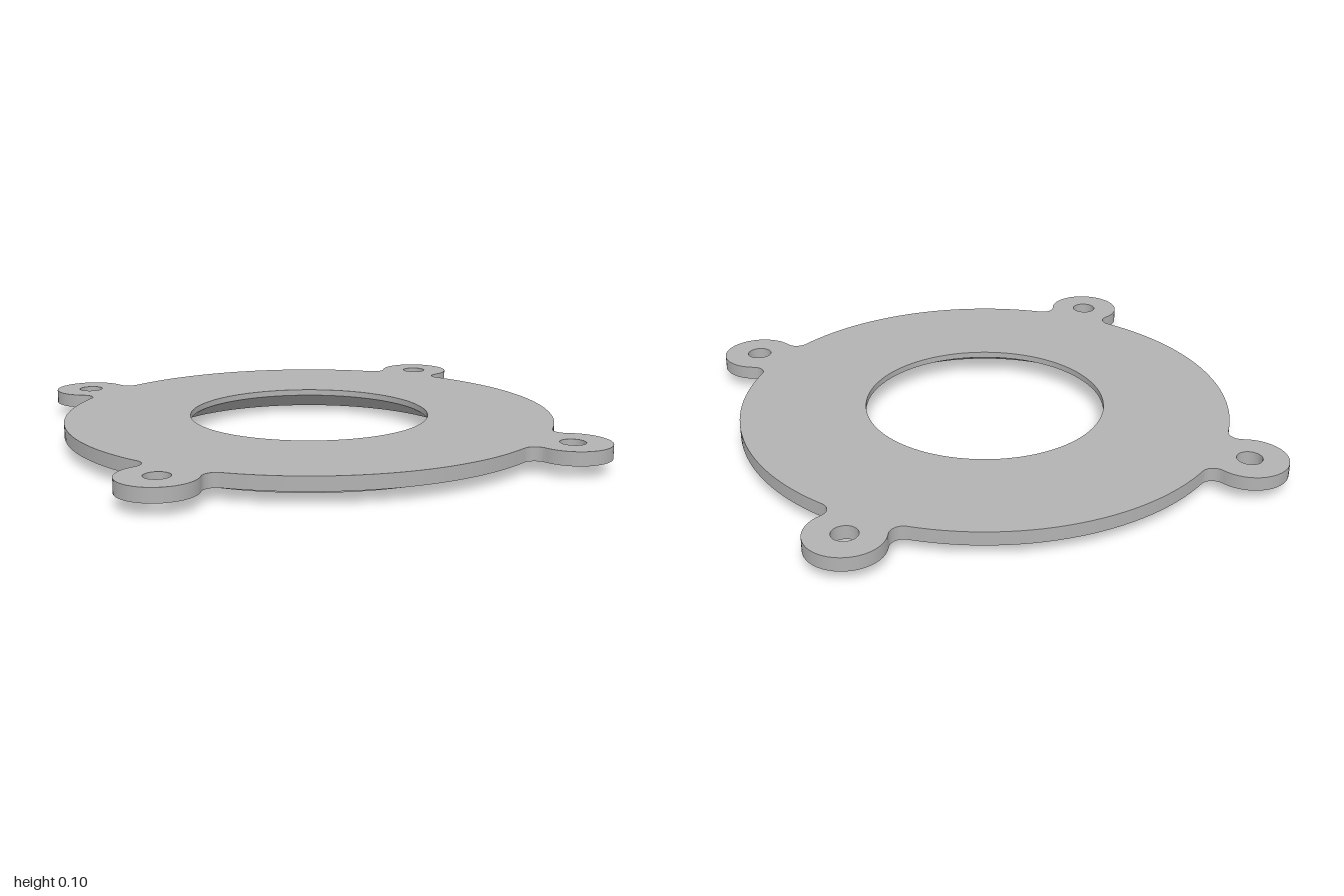
import * as THREE from 'three';
import { toCreasedNormals } from 'three/addons/utils/BufferGeometryUtils.js';

const TOP = 0.105, STEP = 0.05;             // plate top and underside heights
const BORE = 0.49, BOSS = 0.84;             // centre hole and lower ring radii
const EAR = 0.15, EAR_AT = 0.79, FILLET = 0.05, SCREW = 0.05;
const ROUND = 120, SMALL = 32;              // segments of large and small circles

const polar = (r, a) => new THREE.Vector2(r * Math.cos(a), r * Math.sin(a));
const earAngles = [0, 1, 2, 3].map(k => Math.PI / 4 + k * Math.PI / 2);
const earDist = EAR_AT * Math.SQRT2;

// Disc of radius 1 with four ears, each blended in by two fillets
function outlinePoints() {
  const d = 1 + FILLET, e = EAR + FILLET;
  const a = Math.acos((d * d + earDist * earDist - e * e) / (2 * d * earDist));
  const path = new THREE.Path();
  for (const A of earAngles) {
    const E = polar(earDist, A), F1 = polar(d, A - a), F2 = polar(d, A + a);
    const in1 = F1.clone().sub(E).angle(), in2 = F2.clone().sub(E).angle();
    path.absarc(0, 0, 1, A - Math.PI / 2 + a, A - a, false);
    path.absarc(F1.x, F1.y, FILLET, A - a + Math.PI, in1 + Math.PI, true);
    path.absarc(E.x, E.y, EAR, in1, in2, false);
    path.absarc(F2.x, F2.y, FILLET, in2 + Math.PI, A + a + Math.PI, true);
  }
  const pts = path.getPoints(14);
  return pts.filter((p, i) => p.distanceTo(pts[(i + 1) % pts.length]) > 1e-4);
}

function circle(cx, cy, r, n) {
  const pts = [];
  for (let i = 0; i < n; i++) pts.push(polar(r, i / n * Math.PI * 2).add(new THREE.Vector2(cx, cy)));
  return new THREE.Path(pts);
}

// Flat face with the ear holes and a centre hole of the given radius
function face(points, centreRadius) {
  const shape = new THREE.Shape(points);
  shape.holes.push(circle(0, 0, centreRadius, ROUND));
  for (const A of earAngles) {
    const E = polar(earDist, A);
    shape.holes.push(circle(E.x, E.y, SCREW, SMALL));
  }
  return new THREE.ShapeGeometry(shape);
}

// Upright wall following the outline
function wall(points) {
  const n = points.length, geo = new THREE.PlaneGeometry(1, 1, n, 1);
  const pos = geo.attributes.position;
  for (let i = 0; i <= n; i++) {
    const p = points[i % n];
    pos.setXYZ(i, p.x, TOP, -p.y);
    pos.setXYZ(i + n + 1, p.x, STEP, -p.y);
  }
  return toCreasedNormals(geo, 0.6);
}

function lathe(profile, n) {
  const geo = new THREE.LatheGeometry(profile.map(p => new THREE.Vector2(...p)), n);
  return toCreasedNormals(geo, 0.35);
}

export function createModel() {
  const model = new THREE.Group();
  model.name = 'mountingFlange';
  const grey = new THREE.MeshStandardMaterial({ color: 0xb2b2b2 });
  grey.name = 'grey';
  const add = (name, geo) => {
    const mesh = new THREE.Mesh(geo, grey);
    mesh.name = name;
    model.add(mesh);
    return mesh;
  };

  // Plate with four ears
  const points = outlinePoints();
  add('plateTop', face(points, BORE).rotateX(-Math.PI / 2).translate(0, TOP, 0));
  add('plateUnderside', face(points, BOSS).rotateX(Math.PI / 2).translate(0, STEP, 0));
  add('plateRim', wall(points));

  // Centre lip, sloping countersink and stepped ring below
  add('lowerRing', lathe([[BORE, TOP], [BORE, 0.08], [0.65, 0], [BOSS, 0], [BOSS, STEP]], ROUND));

  // Screw hole walls
  for (const A of earAngles) {
    const E = polar(earDist, A);
    add('screwHole', lathe([[SCREW, TOP], [SCREW, STEP]], SMALL)).position.set(E.x, 0, E.y);
  }
  return model;
}
